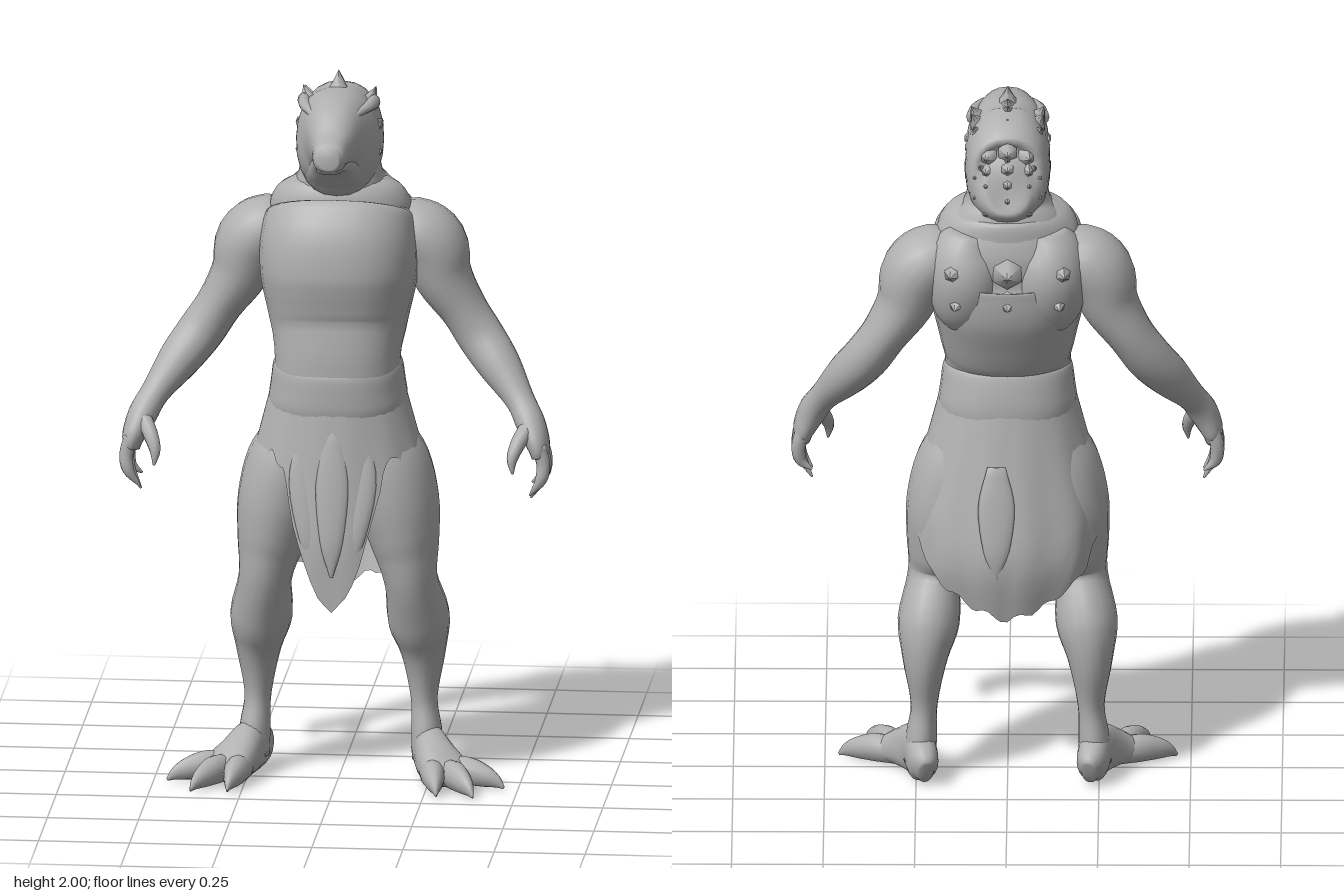
import * as THREE from 'three';

const V = (x, y, z) => new THREE.Vector3(x, y, z);
const pw = (a, p) => Math.sign(a) * Math.abs(a) ** p;

// Smooth closed loft; rows are [x, y, z, half width, half depth], p < 1 squares the section
function loft(rows, ref = V(0, 0, 1), seg = 20, p = 1, per = 4) {
  const path = new THREE.CatmullRomCurve3(rows.map(r => V(r[0], r[1], r[2])), false, 'catmullrom', 0.5);
  const size = new THREE.CatmullRomCurve3(rows.map(r => V(r[3], r[4], 0)), false, 'catmullrom', 0.5);
  const n = (rows.length - 1) * per, pos = [], idx = [];
  for (let i = 0; i <= n; i++) {
    const c = path.getPoint(i / n), r = size.getPoint(i / n), t = path.getTangent(i / n);
    const u = t.clone().cross(ref).normalize(), v = u.clone().cross(t);
    for (let j = 0; j < seg; j++) {
      const a = j / seg * Math.PI * 2;
      pos.push(...c.clone().addScaledVector(u, pw(Math.cos(a), p) * r.x).addScaledVector(v, pw(Math.sin(a), p) * r.y));
    }
  }
  strips(idx, n, seg);
  const s = pos.length / 3, e = s + 1;
  pos.push(...path.getPoint(0), ...path.getPoint(1));
  for (let j = 0; j < seg; j++) {
    const k = (j + 1) % seg;
    idx.push(s, j, k, e, n * seg + k, n * seg + j);
  }
  return build(pos, idx);
}

// Faces between successive closed rings
function strips(idx, n, seg) {
  for (let i = 0; i < n; i++) for (let j = 0; j < seg; j++) {
    const a = i * seg + j, b = i * seg + (j + 1) % seg;
    idx.push(a, a + seg, b, b, a + seg, b + seg);
  }
}

function build(pos, idx) {
  const g = new THREE.BufferGeometry();
  g.setAttribute('position', new THREE.Float32BufferAttribute(pos, 3));
  g.setIndex(idx);
  g.computeVertexNormals();
  return g;
}

function mirrored(geo) {
  const g = geo.clone().scale(-1, 1, 1), a = g.index.array;
  for (let i = 0; i < a.length; i += 3) [a[i], a[i + 1]] = [a[i + 1], a[i]];
  g.computeVertexNormals();
  return g;
}

// Small pointed spine from a base point along a direction
function spike(base, dir, len, r) {
  const q = new THREE.Quaternion().setFromUnitVectors(V(0, 1, 0), dir.clone().normalize());
  return new THREE.ConeGeometry(r, len, 6).translate(0, len * 0.2, 0).applyQuaternion(q).translate(base.x, base.y, base.z);
}

// Hem height by angle away from the front
const HEM = [[0, 0.52], [0.16, 0.57], [0.36, 0.74], [0.6, 0.92], [0.85, 0.95], [1.2, 0.87],
  [1.6, 0.82], [1.95, 0.74], [2.25, 0.64], [2.7, 0.55], [3.2, 0.5]];
function hem(a) {
  const k = Math.max(1, HEM.findIndex(h => h[0] >= a));
  const [a0, y0] = HEM[k - 1], [a1, y1] = HEM[k];
  return y0 + (y1 - y0) * (a - a0) / (a1 - a0);
}

// Draped cloth with folds and a ragged edge
function skirtGeometry() {
  const seg = 96, rows = 12, pos = [], idx = [];
  for (let i = 0; i <= rows; i++) for (let j = 0; j < seg; j++) {
    const a = j / seg * Math.PI * 2, away = Math.min(a, Math.PI * 2 - a);
    const low = hem(away) + 0.01 * Math.sin(j * 1.3) * Math.min(1, away * 2);
    const y = 1.1 + (low - 1.1) * i / rows, d = 1.1 - y;
    const flare = Math.min(1, d / 0.32), fold = 1 + 0.016 * flare * Math.sin(away * 11);
    const tuck = Math.max(0, d - 0.46) * 0.25;
    const depth = Math.cos(a) > 0 ? 0.158 + 0.04 * Math.min(1, d / 0.4) : 0.16 + 0.075 * Math.min(1, d / 0.4) - tuck;
    pos.push(pw(Math.sin(a), 0.94) * (0.187 + 0.085 * flare - tuck) * fold, y, pw(Math.cos(a), 0.94) * depth * fold);
  }
  strips(idx, rows, seg);
  return build(pos, idx);
}

export function createModel() {
  const model = new THREE.Group();
  const grey = new THREE.MeshStandardMaterial({ color: 0xb0b0b0 });
  const cloth = new THREE.MeshStandardMaterial({ color: 0xb0b0b0, side: THREE.DoubleSide });
  grey.name = 'grey';
  cloth.name = 'greyCloth';
  const add = (name, geo, mat = grey) => {
    const m = new THREE.Mesh(geo, mat);
    m.name = name;
    model.add(m);
  };
  const both = (name, geo) => {
    add(name + 'Left', geo);
    add(name + 'Right', mirrored(geo));
  };
  const Y = V(0, 1, 0);

  // Torso and neck
  add('torso', loft([[0, 0.9, 0, 0.16, 0.13], [0, 0.97, 0, 0.18, 0.15], [0, 1.06, 0, 0.182, 0.158],
    [0, 1.2, 0.014, 0.172, 0.15], [0, 1.3, -0.012, 0.19, 0.175], [0, 1.4, -0.028, 0.212, 0.208],
    [0, 1.48, -0.034, 0.218, 0.214], [0, 1.54, -0.045, 0.212, 0.205], [0, 1.59, -0.07, 0.195, 0.16],
    [0, 1.64, -0.075, 0.16, 0.125], [0, 1.7, -0.065, 0.115, 0.118], [0, 1.82, -0.07, 0.1, 0.1]], undefined, 32, 0.85));
  both('shoulderBlade', loft([[0.1, 1.35, -0.14, 0.06, 0.05], [0.11, 1.41, -0.14, 0.095, 0.088], [0.115, 1.49, -0.14, 0.105, 0.11],
    [0.115, 1.56, -0.135, 0.095, 0.1], [0.1, 1.62, -0.13, 0.06, 0.07]]));
  add('waistband', loft([[0, 1.03, 0, 0.182, 0.156], [0, 1.08, 0, 0.19, 0.164], [0, 1.13, 0.004, 0.184, 0.163],
    [0, 1.18, 0.01, 0.177, 0.157], [0, 1.2, 0.012, 0.165, 0.145]], undefined, 32, 0.88));
  add('collar', loft([[0, 1.57, -0.07, 0.195, 0.125], [0, 1.62, -0.078, 0.192, 0.14], [0, 1.66, -0.09, 0.165, 0.125],
    [0, 1.685, -0.095, 0.12, 0.11]], undefined, 32, 0.95));

  // Head with a blunt snout, and a jaw closed against it
  add('head', loft([[0, 1.78, -0.195, 0.05, 0.07], [0, 1.775, -0.17, 0.1, 0.12], [0, 1.785, -0.1, 0.116, 0.155],
    [0, 1.8, -0.02, 0.115, 0.16], [0, 1.825, 0.05, 0.11, 0.138], [0, 1.838, 0.12, 0.084, 0.108],
    [0, 1.826, 0.2, 0.054, 0.058], [0, 1.82, 0.26, 0.045, 0.044], [0, 1.822, 0.288, 0.028, 0.028]], Y, 24, 0.88));
  add('jaw', loft([[0, 1.71, -0.02, 0.085, 0.075], [0, 1.742, 0.06, 0.085, 0.06], [0, 1.775, 0.14, 0.06, 0.04],
    [0, 1.787, 0.22, 0.043, 0.022], [0, 1.79, 0.262, 0.034, 0.016], [0, 1.793, 0.274, 0.018, 0.008]], Y, 20, 0.85));
  both('brow', loft([[0.096, 1.91, -0.02, 0.018, 0.022], [0.085, 1.912, 0.05, 0.016, 0.014],
    [0.058, 1.905, 0.12, 0.01, 0.01], [0.03, 1.875, 0.18, 0.005, 0.005]], Y, 10));

  // Spiny mane around the crown and down the nape
  add('crownPeak', spike(V(0, 1.965, -0.01), V(0, 1, -0.15), 0.05, 0.028));
  for (let k = 0; k < 5; k++) {
    const z = -0.035 - k * 0.033, top = 1.955 - k * k * 0.007, w = 0.106 - k * k * 0.0015;
    add('crestSpike', spike(V(0, top - 0.005, z), V(0, 0.9, -0.6 - k * 0.2), 0.045, 0.026));
    both('crownSpike', spike(V(w * 0.82, top - 0.035, z + 0.01), V(0.45, 1, -0.5 - k * 0.2), 0.05, 0.026));
    both('templeSpike', spike(V(w, 1.85 - k * 0.015, z + 0.01), V(0.35, 0.1, -1), 0.05, 0.018));
    both('cheekSpike', spike(V(w, 1.77 - k * 0.008, z + 0.01), V(0.35, -0.2, -1), 0.05, 0.018));
    add('napeSpike', spike(V(0, 1.865 - k * 0.045, -0.185), V(0, 0.1, -1), 0.045, 0.028));
    both('napeSpike', spike(V(0.055, 1.85 - k * 0.04, -0.172), V(0.2, 0.1, -1), 0.045, 0.028));
  }

  // Ridged spines on the upper back
  add('backSpike', spike(V(0, 1.53, -0.24), V(0, 0.1, -1), 0.07, 0.045));
  add('backSpike', spike(V(0, 1.44, -0.228), V(0, -0.3, -1), 0.05, 0.035));
  both('bladeSpike', spike(V(0.15, 1.53, -0.23), V(0.15, 0.1, -1), 0.07, 0.035));
  both('bladeSpike', spike(V(0.14, 1.44, -0.225), V(0.15, -0.3, -1), 0.05, 0.03));

  // Arms
  both('arm', loft([[0.15, 1.55, -0.09, 0.06, 0.08], [0.2, 1.535, -0.095, 0.088, 0.105], [0.25, 1.49, -0.1, 0.096, 0.11],
    [0.28, 1.4, -0.1, 0.08, 0.097], [0.335, 1.31, -0.1, 0.064, 0.082], [0.385, 1.235, -0.085, 0.064, 0.07],
    [0.44, 1.165, -0.045, 0.058, 0.062], [0.5, 1.085, 0.01, 0.04, 0.043], [0.532, 1.03, 0.045, 0.04, 0.049],
    [0.555, 0.975, 0.065, 0.032, 0.058], [0.56, 0.94, 0.07, 0.022, 0.048]]));

  // Clawed fingers and thumb
  for (const [z, tip] of [[0.03, 0.86], [0.065, 0.825], [0.1, 0.84]])
    both('finger', loft([[0.558, 0.98, z, 0.02, 0.018], [0.572, 0.93, z, 0.019, 0.018],
      [0.566, 0.885, z + 0.005, 0.016, 0.015], [0.535, tip, z, 0.003, 0.003]], undefined, 10));
  both('thumb', loft([[0.53, 1.03, 0.07, 0.023, 0.023], [0.505, 0.99, 0.11, 0.021, 0.021],
    [0.49, 0.95, 0.135, 0.015, 0.015], [0.492, 0.91, 0.145, 0.003, 0.003]], undefined, 10));

  // Legs
  both('leg', loft([[0.11, 1.0, -0.01, 0.08, 0.12], [0.138, 0.9, -0.008, 0.112, 0.142], [0.165, 0.78, -0.008, 0.113, 0.145],
    [0.185, 0.67, 0, 0.093, 0.125], [0.2, 0.57, 0.005, 0.073, 0.098], [0.216, 0.45, -0.052, 0.085, 0.107],
    [0.226, 0.35, -0.078, 0.062, 0.084], [0.228, 0.22, -0.078, 0.037, 0.05], [0.235, 0.13, -0.073, 0.042, 0.06],
    [0.24, 0.05, -0.07, 0.045, 0.065]]));

  // Splayed feet with clawed toes
  both('foot', loft([[0.222, 0.045, -0.162, 0.02, 0.035], [0.23, 0.062, -0.13, 0.042, 0.058], [0.245, 0.075, -0.055, 0.046, 0.073],
    [0.272, 0.06, 0.01, 0.06, 0.058], [0.303, 0.043, 0.06, 0.07, 0.041], [0.325, 0.036, 0.095, 0.052, 0.026]], Y, 20, 0.88));
  for (const [bx, bz, tx, tz] of [[0.26, 0.05, 0.287, 0.192], [0.3, 0.05, 0.388, 0.195], [0.3, 0.02, 0.462, 0.083]]) {
    const at = (t, y, w, h) => [bx + (tx - bx) * t, y, bz + (tz - bz) * t, w, h];
    both('toe', loft([at(0, 0.04, 0.034, 0.036), at(0.35, 0.043, 0.034, 0.04), at(0.65, 0.035, 0.025, 0.032),
      at(0.85, 0.024, 0.014, 0.02), at(1, 0.008, 0.002, 0.004)], Y, 12));
  }

  // Ragged loincloth with overlapping strips
  add('loincloth', skirtGeometry(), cloth);
  const strip = (name, x, top, tip, w, z, zTip, lean) => add(name, loft([[x, top, z, w * 0.5, 0.008],
    [x, top + (tip - top) * 0.35, z + (zTip - z) * 0.5, w, 0.012], [x + lean * 0.6, top + (tip - top) * 0.75, zTip, w * 0.7, 0.01],
    [x + lean, tip, zTip, 0.004, 0.004]], undefined, 12));
  strip('frontStrip', 0, 1.02, 0.62, 0.045, 0.158, 0.2, 0);
  for (const s of [-1, 1]) strip('frontSideStrip', s * 0.085, 1.0, 0.64, 0.035, 0.14, 0.185, -s * 0.03);
  strip('backStrip', 0.03, 0.95, 0.64, 0.05, -0.19, -0.232, 0);
  return model;
}
